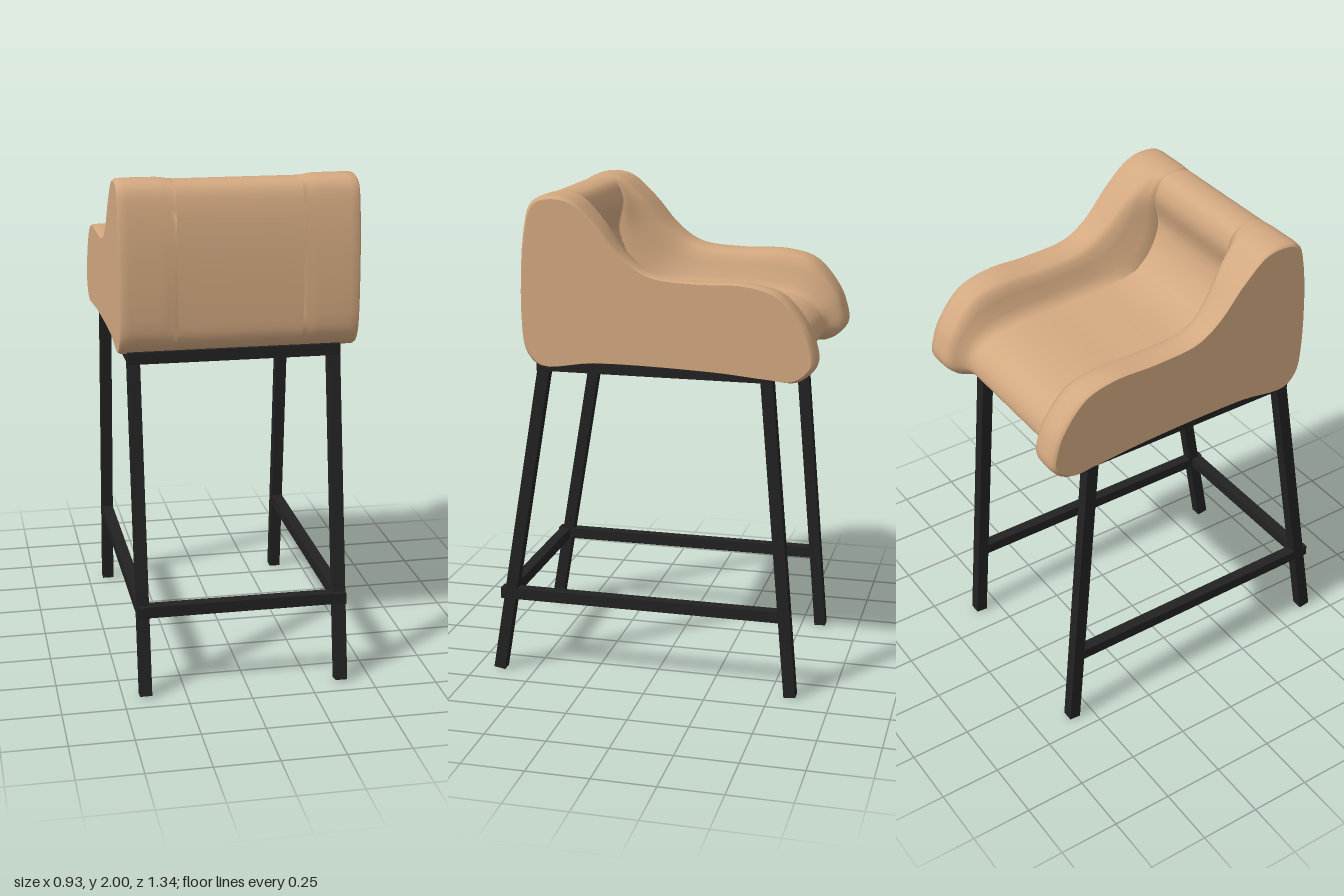
import * as THREE from 'three';

const fabric = new THREE.MeshStandardMaterial({ color: 0xd2a880 });
const metal = new THREE.MeshStandardMaterial({ color: 0x222222 });

// Matching side profiles as [z, y]: the arm outline and the seat/back outline
const ARM = [
  [0.475, 1.385], [0.495, 1.48], [0.48, 1.87], [0.44, 1.985], [0.31, 1.995],
  [0.195, 1.905], [0.08, 1.775], [-0.02, 1.71], [-0.21, 1.69], [-0.4, 1.69],
  [-0.525, 1.655], [-0.62, 1.55], [-0.655, 1.475], [-0.667, 1.385], [-0.6, 1.325],
  [-0.49, 1.328], [-0.28, 1.345], [0.2, 1.355], [0.42, 1.335],
];
const SEAT = [
  [0.475, 1.385], [0.49, 1.48], [0.48, 1.87], [0.44, 1.98], [0.32, 1.985],
  [0.28, 1.91], [0.3, 1.76], [0.2, 1.59], [-0.1, 1.545], [-0.35, 1.535],
  [-0.49, 1.51], [-0.56, 1.46], [-0.585, 1.41], [-0.585, 1.37], [-0.55, 1.338],
  [-0.47, 1.338], [-0.28, 1.345], [0.2, 1.355], [0.42, 1.335],
];
// Half-width stations: [x, blend from seat to arm, inset scale]
const STATIONS = [
  [0, 0, 1], [0.15, 0, 1], [0.26, 0, 1], [0.285, 0.05, 1], [0.305, 0.25, 1],
  [0.322, 0.6, 1], [0.335, 0.84, 1], [0.355, 0.94, 1], [0.39, 0.99, 1],
  [0.43, 1, 1], [0.458, 1, 0.996], [0.467, 1, 0.975],
];
const CENTRE = [0.1, 1.5];

const loop = (points) => new THREE.CatmullRomCurve3(
  points.map(([z, y]) => new THREE.Vector3(0, y, z)), true, 'centripetal');

// Upholstered shell lofted across the width, closed by a flat panel on each side
function makeShell() {
  const n = 96;
  const arm = loop(ARM), seat = loop(SEAT);
  const stations = [
    ...STATIONS.slice(1).reverse().map(([x, w, s]) => [-x, w, s]), ...STATIONS,
  ];
  const pos = [], index = [];
  for (const [x, w, s] of stations) {
    for (let j = 0; j < n; j++) {
      const p = seat.getPoint(j / n).lerp(arm.getPoint(j / n), w);
      const z = CENTRE[0] + (p.z - CENTRE[0]) * s;
      const y = CENTRE[1] + (p.y - CENTRE[1]) * s;
      // Arms curve inward where they meet the backrest
      const inner = w > 0 && w < 0.95 ? 0.04 * THREE.MathUtils.smoothstep(z, 0, 0.28) : 0;
      pos.push(x - Math.sign(x) * inner, y, z);
    }
  }
  for (let i = 0; i < stations.length - 1; i++) {
    for (let j = 0; j < n; j++) {
      const k = (j + 1) % n;
      const a = i * n + j, b = a + n, c = i * n + k, d = c + n;
      index.push(a, b, c, b, d, c);
    }
  }
  // Side panels have their own rings so their edge stays crisp
  for (const side of [-1, 1]) {
    const ring = side < 0 ? 0 : (stations.length - 1) * n;
    const base = pos.length / 3;
    for (let j = 0; j < n * 3; j++) pos.push(pos[ring * 3 + j]);
    const mid = pos.length / 3;
    pos.push(stations[side < 0 ? 0 : stations.length - 1][0], CENTRE[1], CENTRE[0]);
    for (let j = 0; j < n; j++) {
      const a = base + j, b = base + (j + 1) % n;
      if (side < 0) index.push(mid, a, b);
      else index.push(mid, b, a);
    }
  }
  const geo = new THREE.BufferGeometry();
  geo.setAttribute('position', new THREE.Float32BufferAttribute(pos, 3));
  geo.setIndex(index);
  geo.computeVertexNormals();
  const mesh = new THREE.Mesh(geo, fabric);
  mesh.name = 'upholsteredSeat';
  return mesh;
}

// Square bar between two points
function bar(name, from, to, size = 0.046) {
  const a = new THREE.Vector3(...from), b = new THREE.Vector3(...to);
  const mesh = new THREE.Mesh(new THREE.BoxGeometry(size, size, a.distanceTo(b)), metal);
  mesh.position.copy(a).add(b).multiplyScalar(0.5);
  mesh.lookAt(b);
  mesh.name = name;
  return mesh;
}

export function createModel() {
  const model = new THREE.Group();
  model.name = 'barStool';
  model.add(makeShell());

  const frame = new THREE.Group();
  frame.name = 'frame';
  const XR = -0.411, XL = 0.379;

  // Splayed legs and side rails
  for (const [side, x] of [['right', XR], ['left', XL]]) {
    frame.add(
      bar(side + 'BackrestLeg', [x, 1.335, 0.425], [x, 0.005, 0.65], 0.048),
      bar(side + 'SeatFrontLeg', [x, 1.335, -0.467], [x, 0.003, -0.583], 0.048),
      bar(side + 'SeatRail', [x, 1.323, 0.458], [x, 1.323, -0.488]),
      bar(side + 'FootRail', [x, 0.343, 0.635], [x, 0.343, -0.555]),
    );
  }
  // Cross rails
  frame.add(
    bar('backSeatRail', [XR, 1.323, 0.435], [XL, 1.323, 0.435]),
    bar('frontSeatRail', [XR, 1.323, -0.465], [XL, 1.323, -0.465]),
    bar('backFootRail', [XR, 0.343, 0.605], [XL, 0.343, 0.605]),
  );
  model.add(frame);
  return model;
}
